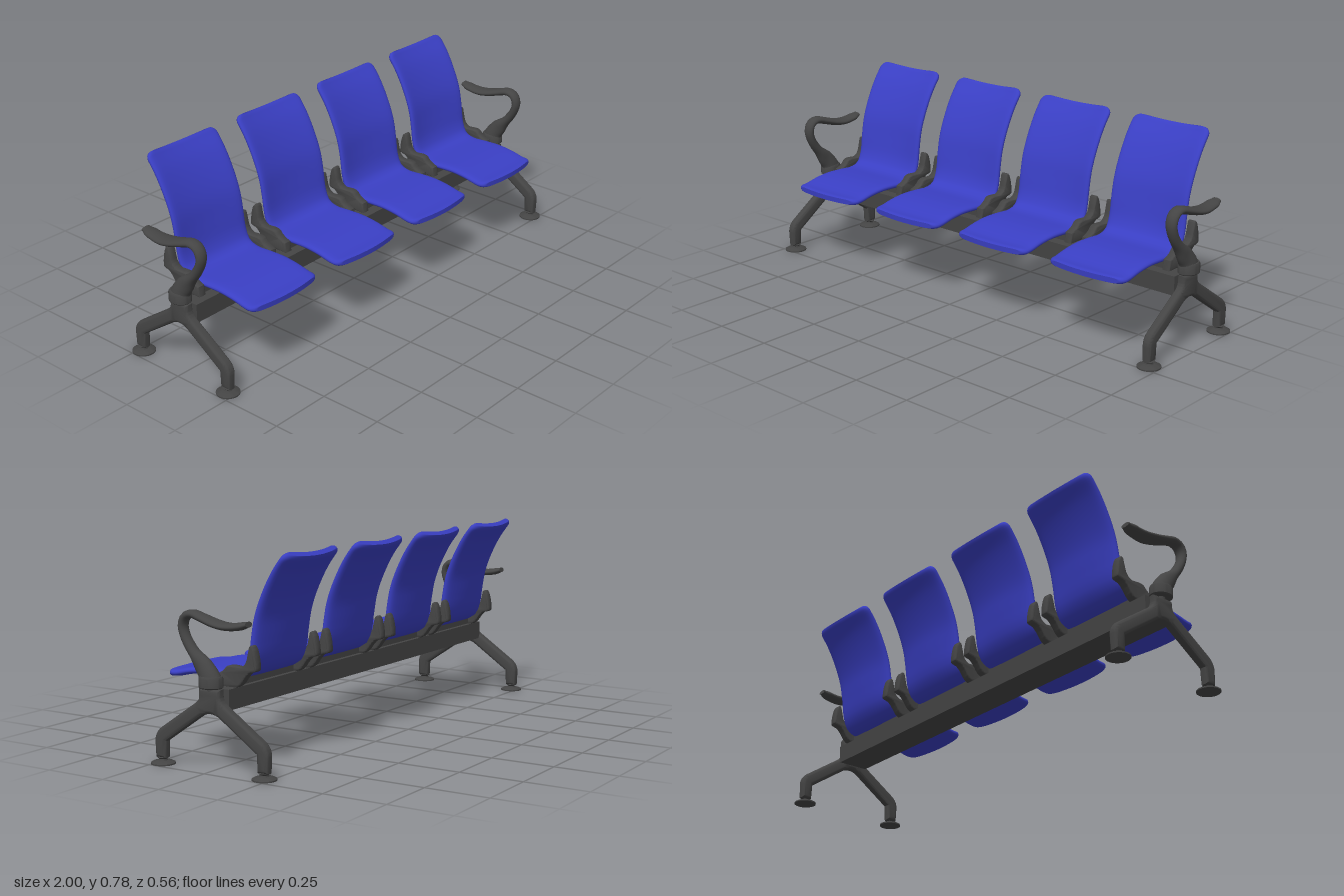
import * as THREE from 'three';
import { toCreasedNormals } from 'three/addons/utils/BufferGeometryUtils.js';

const blue = new THREE.MeshStandardMaterial({ color: 0x3a3fc4 });
const dark = new THREE.MeshStandardMaterial({ color: 0x444444 });

const add = (parent, name, geometry, material, x = 0, y = 0, z = 0) => {
  const m = new THREE.Mesh(geometry, material);
  m.name = name;
  m.position.set(x, y, z);
  parent.add(m);
  return m;
};

// Piecewise linear value from [t, value] pairs
const ramp = (keys, t) => {
  for (let i = 1; i < keys.length; i++) {
    const [t0, v0] = keys[i - 1], [t1, v1] = keys[i];
    if (t <= t1) return v0 + (v1 - v0) * THREE.MathUtils.smoothstep(t, t0, t1);
  }
  return keys[keys.length - 1][1];
};

// Closed loft along a [z, y] path; section(t, phi, length) gives [across, normal, along] offsets
function loft(path, steps, n, section) {
  const curve = new THREE.CatmullRomCurve3(path.map(([z, y]) => new THREE.Vector3(0, y, z)), false, 'centripetal');
  const length = curve.getLength();
  const pos = [], idx = [];
  const ring = (t) => {
    const p = curve.getPointAt(t), T = curve.getTangentAt(t);
    for (let j = 0; j < n; j++) {
      const [a, b, c] = section(t, (j / n) * Math.PI * 2, length);
      pos.push(a, p.y + T.z * b + T.y * c, p.z - T.y * b + T.z * c);
    }
  };
  for (let i = 0; i <= steps; i++) ring(0.5 - 0.5 * Math.cos((Math.PI * i) / steps));
  for (let i = 0; i < steps; i++) {
    for (let j = 0; j < n; j++) {
      const k = (j + 1) % n, a = i * n, b = a + n;
      idx.push(a + j, a + k, b + k, a + j, b + k, b + j);
    }
  }
  // End caps with their own vertices
  [0, 1].forEach((end) => {
    const o = pos.length / 3;
    ring(end);
    for (let j = 0; j < n / 2; j++) {
      const a = o + j, b = o + j + 1, c = o + n - j - 1, d = o + ((n - j) % n);
      if (end) idx.push(a, b, c, a, c, d);
      else idx.push(a, c, b, a, d, c);
    }
  });
  const g = new THREE.BufferGeometry();
  g.setAttribute('position', new THREE.Float32BufferAttribute(pos, 3));
  g.setIndex(idx);
  g.computeVertexNormals();
  return g;
}

// Side outline in (z, y) extruded across x and centred on x = 0
function sidePlate(shape, width, bevel) {
  const depth = width - 2 * bevel;
  const g = new THREE.ExtrudeGeometry(shape, {
    depth, bevelEnabled: true, bevelThickness: bevel, bevelSize: bevel, bevelOffset: -bevel,
    bevelSegments: 4, curveSegments: 10,
  });
  g.translate(0, 0, -depth / 2);
  g.rotateY(-Math.PI / 2);
  return toCreasedNormals(g, 0.7);
}

// One-piece seat and backrest shell
function shellGeometry() {
  const path = [[0.27, 0.315], [0.23, 0.317], [0.17, 0.33], [0.1, 0.338], [0.03, 0.337], [-0.04, 0.335],
    [-0.085, 0.352], [-0.107, 0.4], [-0.117, 0.47], [-0.132, 0.55], [-0.16, 0.625], [-0.205, 0.71], [-0.257, 0.78]];
  const r = 0.03;
  return loft(path, 52, 40, (t, phi, length) => {
    const d = Math.min(r, Math.min(t, 1 - t) * length);
    const w = 0.175 - r + Math.sqrt(r * r - (r - d) ** 2);
    const u = Math.cos(phi);
    const v = Math.sign(Math.sin(phi)) * Math.sqrt(Math.max(0, 1 - Math.abs(u) ** 16));
    const thick = 0.0105 + 0.003 * Math.min(1, d / 0.012);
    const bow = 0.018 * (1 - u * u) * THREE.MathUtils.smoothstep(t, 0.35, 0.65);
    const nose = -0.014 * (1 - u * u) * (1 - THREE.MathUtils.smoothstep(t, 0, 0.2));
    return [u * w, v * thick + bow, nose];
  });
}

// Looping armrest that flattens into a paddle
function armGeometry() {
  const path = [[-0.006, 0.325], [0.008, 0.355], [0.038, 0.392], [0.078, 0.437], [0.106, 0.482], [0.114, 0.52],
    [0.1, 0.55], [0.07, 0.56], [0.03, 0.55], [-0.03, 0.533], [-0.08, 0.526], [-0.13, 0.53], [-0.172, 0.541]];
  const across = [[0, 0.034], [0.15, 0.026], [0.3, 0.022], [0.5, 0.025], [0.78, 0.037], [0.94, 0.03], [1, 0.02]];
  const thick = [[0, 0.043], [0.09, 0.036], [0.24, 0.019], [0.4, 0.016], [0.94, 0.014], [1, 0.01]];
  return loft(path, 56, 24, (t, phi) => [Math.cos(phi) * ramp(across, t), Math.sin(phi) * ramp(thick, t), 0]);
}

// Arched pair of legs with a central hub
function legGeometry() {
  const s = new THREE.Shape();
  s.moveTo(-0.046, 0.3);
  s.lineTo(0.046, 0.3);
  s.lineTo(0.046, 0.277);
  s.quadraticCurveTo(0.047, 0.258, 0.066, 0.244);
  s.lineTo(0.222, 0.138);
  s.quadraticCurveTo(0.251, 0.118, 0.252, 0.085);
  s.lineTo(0.249, 0.024);
  s.lineTo(0.202, 0.024);
  s.lineTo(0.199, 0.088);
  s.lineTo(0.035, 0.2);
  s.quadraticCurveTo(0, 0.217, -0.035, 0.2);
  s.lineTo(-0.199, 0.088);
  s.lineTo(-0.202, 0.024);
  s.lineTo(-0.249, 0.024);
  s.lineTo(-0.252, 0.085);
  s.quadraticCurveTo(-0.251, 0.118, -0.222, 0.138);
  s.lineTo(-0.066, 0.244);
  s.quadraticCurveTo(-0.047, 0.258, -0.046, 0.277);
  return sidePlate(s, 0.038, 0.015);
}

// Bracket that cradles the bend of the shell
function bracketGeometry() {
  const s = new THREE.Shape();
  s.moveTo(0.03, 0.298);
  s.lineTo(0.025, 0.34);
  s.quadraticCurveTo(-0.01, 0.35, -0.022, 0.368);
  s.quadraticCurveTo(-0.03, 0.377, -0.05, 0.377);
  s.lineTo(-0.085, 0.374);
  s.quadraticCurveTo(-0.11, 0.38, -0.116, 0.41);
  s.lineTo(-0.125, 0.448);
  s.quadraticCurveTo(-0.135, 0.464, -0.146, 0.442);
  s.quadraticCurveTo(-0.158, 0.41, -0.158, 0.368);
  s.quadraticCurveTo(-0.155, 0.361, -0.13, 0.357);
  s.quadraticCurveTo(-0.115, 0.347, -0.1, 0.325);
  s.quadraticCurveTo(-0.085, 0.302, -0.065, 0.298);
  return sidePlate(s, 0.035, 0.007);
}

export function createModel() {
  const model = new THREE.Group();
  model.name = 'beamSeating';

  add(model, 'beam', new THREE.BoxGeometry(1.89, 0.075, 0.133), dark, 0, 0.2625, -0.006);

  // Four seats with a bracket on either side
  const shell = shellGeometry(), bracket = bracketGeometry();
  for (const x of [-0.693, -0.231, 0.231, 0.693]) {
    const seat = new THREE.Group();
    seat.name = 'seat';
    seat.position.x = x;
    model.add(seat);
    add(seat, 'seatShell', shell, blue);
    add(seat, 'seatMount', new THREE.BoxGeometry(0.36, 0.03, 0.07), dark, 0, 0.313, -0.02);
    for (const side of [-1, 1]) add(seat, 'seatBracket', bracket, dark, side * 0.19);
  }

  // End frames: legs, feet, collar and armrest
  const legs = legGeometry(), arm = armGeometry();
  const foot = toCreasedNormals(new THREE.LatheGeometry(
    [[0, 0], [0.045, 0], [0.045, 0.005], [0.036, 0.01], [0.017, 0.014], [0.015, 0.019], [0.022, 0.025], [0, 0.027]]
      .map(([r, y]) => new THREE.Vector2(r, y)), 32), 0.6);
  const collar = toCreasedNormals(new THREE.LatheGeometry(
    [[0, 0], [0.042, 0], [0.046, 0.004], [0.046, 0.036], [0.042, 0.043], [0, 0.046]]
      .map(([r, y]) => new THREE.Vector2(r, y)), 32), 0.6);
  for (const side of [-1, 1]) {
    const frame = new THREE.Group();
    frame.name = side > 0 ? 'leftEndFrame' : 'rightEndFrame';
    frame.position.x = side * 0.957;
    model.add(frame);
    add(frame, 'legs', legs, dark, 0, 0, -0.006);
    for (const z of [0.219, -0.231]) add(frame, 'foot', foot, dark, 0, 0, z);
    add(frame, 'armCollar', collar, dark, side * 0.004, 0.302, -0.006).scale.x = 0.85;
    add(frame, 'collarPin', new THREE.CylinderGeometry(0.018, 0.018, 0.02, 20), dark, 0, 0.3, -0.006);
    add(frame, 'armrest', arm, dark, side * 0.003);
  }
  return model;
}
